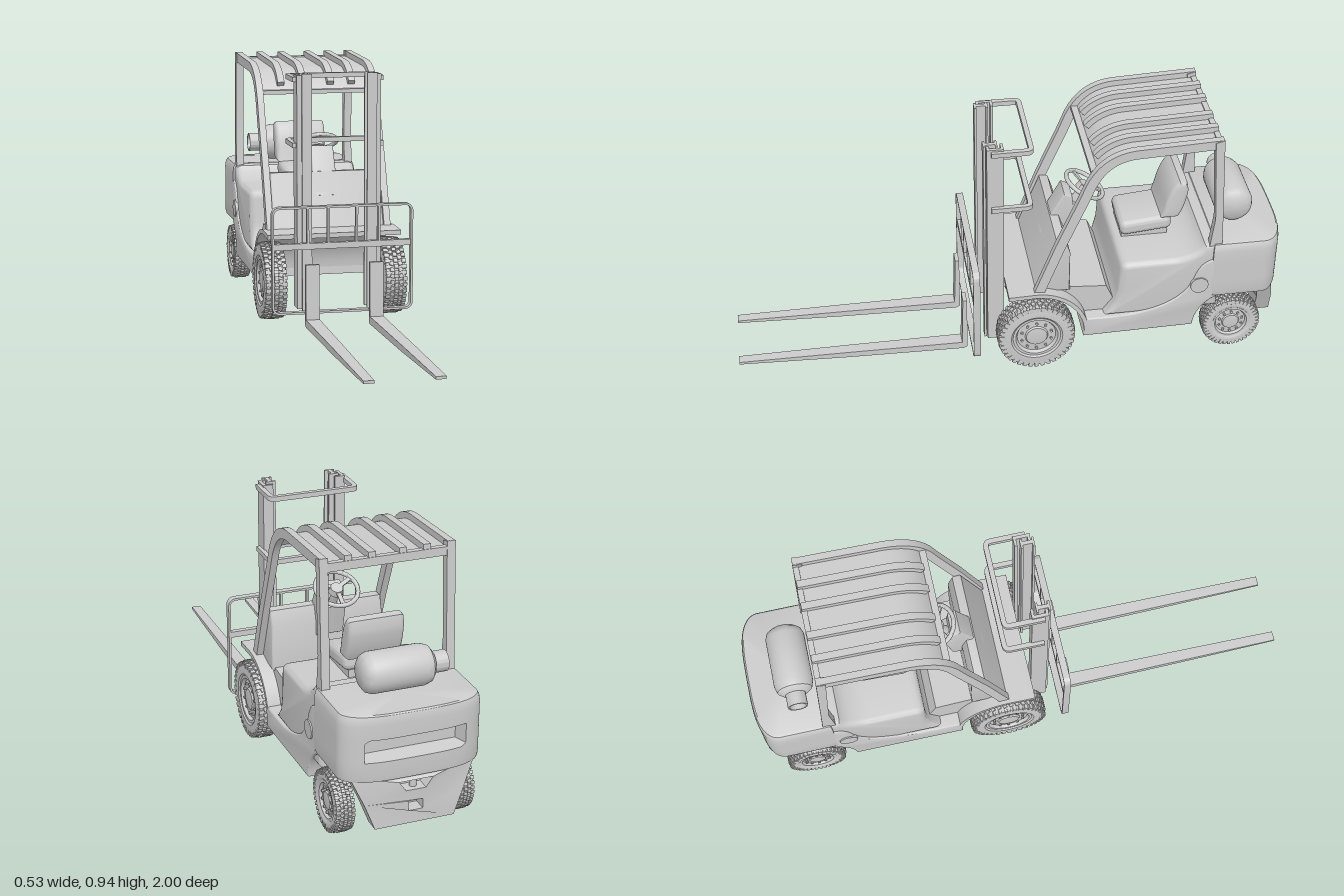
import * as THREE from 'three';
import { mergeGeometries, toCreasedNormals } from 'three/addons/utils/BufferGeometryUtils.js';
import { RoundedBoxGeometry } from 'three/addons/geometries/RoundedBoxGeometry.js';

const grey = new THREE.MeshStandardMaterial({ color: 0xcccccc, side: THREE.DoubleSide });
const V2 = (p) => new THREE.Vector2(p[0], p[1]);

export function createModel() {
  const model = new THREE.Group();

  const add = (name, geo, x = 0, y = 0, z = 0, parent = model) => {
    const mesh = new THREE.Mesh(toCreasedNormals(geo, 0.6), grey);
    mesh.name = name;
    mesh.position.set(x, y, z);
    parent.add(mesh);
    return mesh;
  };
  const box = (name, w, h, d, x, y, z) => add(name, new THREE.BoxGeometry(w, h, d), x, y, z);
  const shapeOf = (pts) => new THREE.Shape(pts.map(V2));

  // Side profile of (z, y) points, extruded across the width and centred on x
  const profile = (pts, width, bevel = 0) => {
    const g = new THREE.ExtrudeGeometry(shapeOf(pts), {
      depth: width - 2 * bevel, bevelEnabled: bevel > 0, bevelThickness: bevel, bevelSize: bevel, bevelOffset: -bevel, bevelSegments: 3,
    });
    return g.translate(0, 0, bevel - width / 2).rotateY(-Math.PI / 2);
  };
  // Plan outline of (x, z) points, extruded upwards from y
  const plan = (pts, y, height) => new THREE.ExtrudeGeometry(shapeOf(pts.map(([x, z]) => [x, -z])),
    { depth: height, bevelEnabled: false }).rotateX(-Math.PI / 2).translate(0, y, 0);
  // Closed strip between two offsets, a and b, to the left of a path
  const strip = (path, a, b) => {
    const off = (d) => path.map((p, i) => {
      const q = path[Math.max(i - 1, 0)], r = path[Math.min(i + 1, path.length - 1)];
      const dx = r[0] - q[0], dy = r[1] - q[1], l = Math.hypot(dx, dy);
      return [p[0] - (dy / l) * d, p[1] + (dx / l) * d];
    });
    return [...off(a), ...off(b).reverse()];
  };
  const bend = (a, b, c, n = 10) => new THREE.QuadraticBezierCurve(V2(a), V2(b), V2(c)).getPoints(n).map((p) => [p.x, p.y]);
  const arc = (cz, cy, r, a0, a1, n = 14) => Array.from({ length: n + 1 }, (_, i) => {
    const a = a0 + ((a1 - a0) * i) / n;
    return [cz + r * Math.cos(a), cy + r * Math.sin(a)];
  });

  // Chassis with swept side panels
  add('chassis', profile([[-0.262, 0.12], [-0.27, 0.2], ...bend([-0.35, 0.2], [-0.6, 0.2], [-0.66, 0.33]),
    ...bend([-0.67, 0.36], [-0.69, 0.42], [-0.74, 0.425], 5), [-0.74, 0.26], ...arc(-0.82, 0.12, 0.15, 1.1, 0.05, 8)], 0.5, 0.006));
  for (const s of [1, -1]) {
    add('fillerCap', new THREE.CylinderGeometry(0.033, 0.033, 0.012, 32).rotateZ(Math.PI / 2), s * 0.249, 0.315, -0.685);
  }

  // Front fenders, an open arch over the axle, with the footwell behind
  add('frontFender', profile([[0.015, 0.333], ...arc(-0.085, 0.14, 0.196, Math.PI / 2, Math.PI - 0.05),
    ...arc(-0.085, 0.14, 0.18, Math.PI - 0.05, Math.PI / 2), [0.015, 0.316]], 0.5));
  add('floor', profile([[-0.11, 0.328], [-0.35, 0.31], [-0.4, 0.2], [-0.262, 0.2], [-0.22, 0.275]], 0.4));
  add('frontCowl', profile([[-0.08, 0.32], [-0.15, 0.5], [-0.163, 0.535], [-0.195, 0.533], [-0.213, 0.48], [-0.215, 0.31]], 0.42, 0.008));

  // Hood under the seat
  add('hood', profile([[-0.34, 0.2], [-0.375, 0.25], [-0.388, 0.31], [-0.392, 0.4], ...bend([-0.395, 0.415], [-0.4, 0.432], [-0.43, 0.432], 4),
    [-0.59, 0.432], ...bend([-0.62, 0.435], [-0.68, 0.45], [-0.7, 0.485], 6), [-0.76, 0.49], [-0.76, 0.2]], 0.485, 0.022));

  // Counterweight: stacked plan outlines, with a recessed slot in the curved back
  const backCurve = (x) => 0.08 * (1 - Math.sqrt(Math.max(0, 1 - Math.abs(x / 0.25) ** 3.5)));
  const ringAt = ([y, k, slot]) => {
    const pts = [[-0.25, -0.73], [0.25, -0.73]];
    for (let i = 0; i <= 36; i++) {
      const x = 0.25 * Math.sin((Math.PI / 2) * (1 - i / 18));
      pts.push([x, slot && Math.abs(x) < 0.175 ? -0.94 : backCurve(x) - 1]);
    }
    return pts.map(([x, z]) => [x * k, y, -0.86 + (z + 0.86) * k]);
  };
  const loft = (rings) => {
    const n = rings[0].length, pos = rings.flat(2), idx = [];
    for (let j = 0; j < rings.length - 1; j++) for (let i = 0; i < n; i++) {
      const a = j * n + i, b = j * n + ((i + 1) % n);
      idx.push(a, b, b + n, a, b + n, a + n);
    }
    const base = pos.length / 3, last = (rings.length - 1) * n;
    pos.push(0, rings[0][0][1], -0.86, 0, rings[rings.length - 1][0][1], -0.86);
    for (let i = 0; i < n; i++) {
      const k = (i + 1) % n;
      idx.push(k, i, base, last + i, last + k, base + 1);
    }
    const g = new THREE.BufferGeometry();
    g.setAttribute('position', new THREE.Float32BufferAttribute(pos, 3));
    g.setIndex(idx);
    return g;
  };
  add('counterweight', loft([[0.255, 0.985], [0.27, 1], [0.325, 1], [0.335, 1, 1], [0.395, 1, 1], [0.405, 1], [0.455, 1],
    [0.475, 0.988], [0.486, 0.965], [0.49, 0.93]].map(ringAt)));
  // Tapered tail below it, bent to the same curve, with towing openings
  const tail = shapeOf([[-0.22, 0.27], [-0.175, 0.17], [-0.14, 0.08], [0.14, 0.08], [0.175, 0.17], [0.22, 0.27]]);
  tail.holes.push(new THREE.Path([[-0.025, 0.13], [0.025, 0.13], [0.025, 0.165], [-0.025, 0.165]].map(V2)),
    new THREE.Path([[-0.06, 0.24], [-0.035, 0.205], [0.035, 0.205], [0.06, 0.24]].map(V2)));
  const tailGeo = new THREE.ExtrudeGeometry(tail, { depth: 0.055, bevelEnabled: false });
  const tp = tailGeo.attributes.position;
  for (let i = 0; i < tp.count; i++) tp.setZ(i, tp.getZ(i) - 0.999 + backCurve(tp.getX(i)));
  add('counterweightTail', tailGeo);
  box('tailBacking', 0.2, 0.15, 0.012, 0, 0.18, -0.944);
  add('towPin', new THREE.CylinderGeometry(0.012, 0.012, 0.06, 16), 0, 0.225, -0.97);

  // Overhead guard
  const front = [[-0.078, 0.33], [-0.155, 0.54], [-0.235, 0.735]];
  const crown = bend([-0.25, 0.775], [-0.3, 0.915], [-0.43, 0.925], 14);
  const roofEnd = [-0.735, 0.938];
  for (const s of [1, -1]) {
    add('guardFrontBeam', profile(strip([...front, ...crown, roofEnd], 0, 0.036), 0.025), s * 0.2225);
    add('guardRearPost', profile([[-0.705, 0.93], [-0.737, 0.938], [-0.765, 0.43], [-0.71, 0.43], [-0.728, 0.6]], 0.03), s * 0.222);
  }
  add('roofPlate', profile(strip([...crown.slice(3), roofEnd], 0.022, 0.03), 0.43));
  for (const x of [-0.137, -0.052, 0.055, 0.137]) add('roofSlat', profile(strip([...crown.slice(5), roofEnd], 0, 0.024), 0.026), x);
  box('roofFrontBar', 0.43, 0.015, 0.03, 0, 0.822, -0.293);
  box('roofRearBar', 0.43, 0.03, 0.02, 0, 0.905, -0.728);

  // Seat
  box('seatBase', 0.15, 0.035, 0.17, 0, 0.444, -0.51);
  add('seatCushion', new RoundedBoxGeometry(0.19, 0.06, 0.19, 4, 0.022), 0, 0.483, -0.512).rotation.x = 0.1;
  add('seatBack', profile([[-0.565, 0.515], ...bend([-0.575, 0.55], [-0.59, 0.64], [-0.628, 0.67], 6), [-0.655, 0.665],
    ...bend([-0.662, 0.63], [-0.655, 0.56], [-0.628, 0.515], 6)], 0.2, 0.015));
  box('seatBracket', 0.08, 0.07, 0.02, 0, 0.5, -0.6);

  // Steering column and wheel
  add('steeringConsole', profile([[-0.13, 0.45], [-0.165, 0.53], [-0.215, 0.625], [-0.245, 0.61], [-0.25, 0.57], [-0.275, 0.55], [-0.25, 0.44], [-0.19, 0.41]], 0.09, 0.006));
  const steering = new THREE.Group();
  steering.name = 'steeringWheel';
  steering.position.set(0, 0.628, -0.296);
  steering.rotation.x = -2.08;
  model.add(steering);
  add('steeringRim', new THREE.TorusGeometry(0.076, 0.008, 12, 48), 0, 0, 0, steering);
  add('steeringHub', new THREE.CylinderGeometry(0.022, 0.026, 0.024, 24).rotateX(Math.PI / 2), 0, 0, -0.006, steering);
  add('steeringShaft', new THREE.CylinderGeometry(0.013, 0.016, 0.1, 20).rotateX(Math.PI / 2), 0, 0, -0.05, steering);
  for (let i = 0; i < 3; i++) {
    const a = Math.PI / 2 + (i * 2 * Math.PI) / 3;
    add('steeringSpoke', new THREE.BoxGeometry(0.06, 0.015, 0.006).translate(0.045, 0, 0).rotateZ(a), 0, 0, 0, steering);
  }

  // Gas tank lying across the counterweight
  const tank = [[0, -0.135], [0.045, -0.132], [0.062, -0.12], [0.07, -0.1], [0.07, 0.08], [0.062, 0.105], [0.045, 0.118],
    [0.036, 0.12], [0.036, 0.168], [0.03, 0.168], [0.03, 0.13], [0, 0.13]];
  add('gasTank', new THREE.LatheGeometry(tank.map(V2), 40).rotateZ(Math.PI / 2), 0, 0.562, -0.83);

  // Wheels: tyre, tread lugs, dished rim and bolts; the outer face is +x
  const wheel = (name, R, w, rim, x, y, z) => {
    const g = new THREE.Group();
    g.name = name;
    g.position.set(x, y, z);
    if (x < 0) g.rotation.y = Math.PI;
    model.add(g);
    const h = w / 2, lathe = (pts) => new THREE.LatheGeometry(pts.map(V2), 56).rotateZ(-Math.PI / 2);
    add('tyre', lathe([[rim, -h * 0.8], [rim + 0.01, -h], [R - 0.026, -h], [R - 0.01, -h * 0.9], [R - 0.006, -h * 0.5], [R - 0.006, h * 0.5],
      [R - 0.01, h * 0.9], [R - 0.026, h], [rim + 0.01, h], [rim, h * 0.8]]), 0, 0, 0, g);
    add('rim', lathe([[0, -h * 0.2], [rim * 0.75, -h * 0.2], [rim * 0.9, -h * 0.85], [rim + 0.003, -h * 0.85], [rim + 0.003, h * 0.88], [rim * 0.92, h * 0.88],
      [rim * 0.84, h * 0.6], [rim * 0.5, h * 0.65], [rim * 0.45, h * 0.8], [rim * 0.25, h * 0.85], [0, h * 0.85]]), 0, 0, 0, g);
    const lugs = [], bolts = [], n = 38;
    for (let i = 0; i < n; i++) {
      for (let row = -2; row <= 2; row++) {
        const edge = Math.abs(row) === 2;
        lugs.push(new THREE.BoxGeometry(w * 0.19, edge ? 0.022 : 0.012, R * 0.1).rotateY(row % 2 ? 0.35 * row : 0)
          .translate(row * w * 0.2, R - (edge ? 0.0145 : 0.006), 0).rotateX(((i + (row % 2 ? 0.5 : 0)) * 2 * Math.PI) / n));
      }
    }
    for (let i = 0; i < 10; i++) {
      bolts.push(new THREE.CylinderGeometry(0.005, 0.005, 0.012, 6).rotateZ(Math.PI / 2)
        .translate(h * 0.65, rim * 0.67, 0).rotateX((i * 2 * Math.PI) / 10));
    }
    add('treadLugs', mergeGeometries(lugs), 0, 0, 0, g);
    add('wheelBolts', mergeGeometries(bolts), 0, 0, 0, g);
  };
  for (const s of [1, -1]) {
    wheel('frontWheel', 0.144, 0.08, 0.085, s * 0.225, 0.146, -0.087);
    wheel('rearWheel', 0.11, 0.066, 0.066, s * 0.214, 0.115, -0.82);
  }

  // Mast: nested channel rails on each side
  for (const s of [1, -1]) {
    const m = (pts) => pts.map(([x, z]) => [s * x, z]);
    add('outerMastRail', plan(m([[0.155, 0.02], [0.155, 0.08], [0.118, 0.08], [0.118, 0.07], [0.143, 0.07], [0.143, 0.03], [0.118, 0.03], [0.118, 0.02]]), 0.07, 0.85));
    add('innerMastRail', plan(m([[0.138, 0.04], [0.138, 0.048], [0.128, 0.048], [0.128, 0.082], [0.138, 0.082], [0.138, 0.09],
      [0.102, 0.09], [0.102, 0.082], [0.114, 0.082], [0.114, 0.048], [0.102, 0.048], [0.102, 0.04]]), 0.065, 0.86));
  }
  // U-shaped ties bridging the rails behind the mast
  const half = [[0.168, 0.065], [0.168, -0.05], ...bend([0.168, -0.055], [0.168, -0.085], [0.138, -0.085], 6)];
  const tie = [...half, ...half.map(([x, z]) => [-x, z]).reverse()];
  for (const y of [0.895, 0.658]) add('mastTie', plan(strip(tie, 0, -0.018), y, 0.018));

  // Load backrest: rounded frame with bars
  const rounded = (P, w, y0, y1, r) => {
    const p = new P();
    p.absarc(w - r, y0 + r, r, -Math.PI / 2, 0);
    p.absarc(w - r, y1 - r, r, 0, Math.PI / 2);
    p.absarc(-w + r, y1 - r, r, Math.PI / 2, Math.PI);
    p.absarc(-w + r, y0 + r, r, Math.PI, 1.5 * Math.PI);
    return p;
  };
  const frame = rounded(THREE.Shape, 0.26, 0.065, 0.457, 0.028);
  frame.holes.push(rounded(THREE.Path, 0.252, 0.073, 0.449, 0.02));
  add('backrestFrame', new THREE.ExtrudeGeometry(frame, { depth: 0.025, bevelEnabled: false, curveSegments: 8 }), 0, 0, 0.12);
  box('carriageBar', 0.505, 0.022, 0.02, 0, 0.312, 0.132);
  for (const x of [-0.128, -0.052, 0.052, 0.135]) box('backrestBar', 0.008, 0.135, 0.02, x, 0.385, 0.132);

  // Forks, tapering towards the tip
  for (const s of [1, -1]) {
    const g = profile([[0.155, 0.25], [0.155, 0.03], [0.17, 0.022], [0.6, 0.027], [1, 0.038], [1, 0.048], [0.6, 0.05], [0.175, 0.05], [0.17, 0.25]], 0.05);
    const p = g.attributes.position;
    for (let i = 0; i < p.count; i++) p.setX(i, p.getX(i) * (1 - 0.35 * Math.max(0, p.getZ(i) - 0.175)));
    add('fork', g, s * 0.118);
  }
  return model;
}
